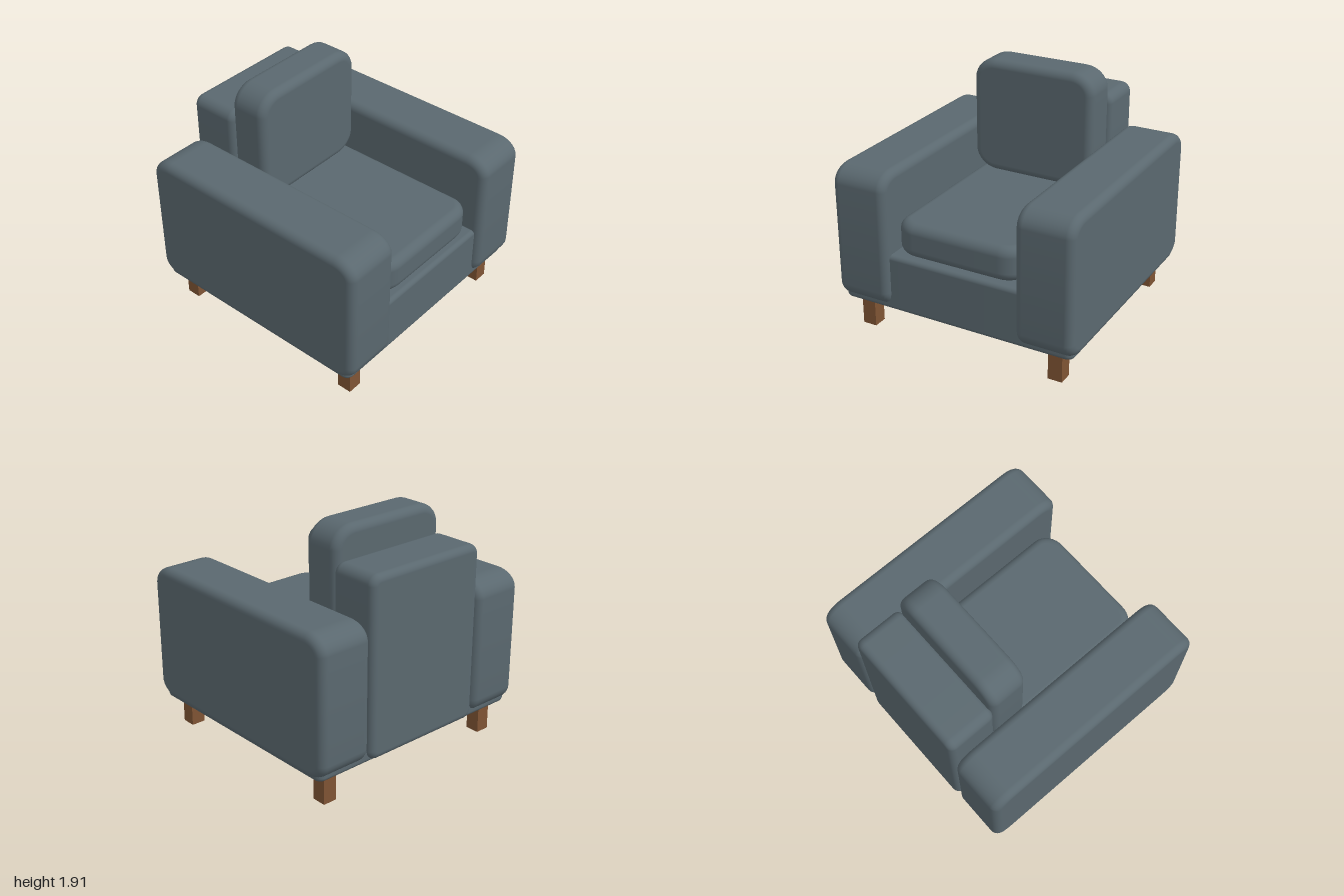
import * as THREE from 'three';

const fabric = new THREE.MeshStandardMaterial({ color: 0x5a686f });
fabric.name = 'slate fabric';
const wood = new THREE.MeshStandardMaterial({ color: 0x7f5434 });
wood.name = 'brown wood';

// Rounded rectangle outline with elliptical corners
function outline(w, h, rx, ry) {
  const s = new THREE.Shape();
  const x = w / 2 - rx, y = h / 2 - ry;
  const corners = [[x, y, 0], [-x, y, 1], [-x, -y, 2], [x, -y, 3]];
  const pts = [];
  for (const [cx, cy, q] of corners) {
    for (let i = 0; i <= 8; i++) {
      const a = (q + i / 8) * Math.PI / 2;
      pts.push(new THREE.Vector2(cx + rx * Math.cos(a), cy + ry * Math.sin(a)));
    }
  }
  return s.setFromPoints(pts);
}

// Padded block: outline seen along one axis, with a soft round edge of radius b.
function pad(name, [x0, x1], [y0, y1], [z0, z1], axis, rx, ry, b) {
  const dx = x1 - x0, dy = y1 - y0, dz = z1 - z0;
  const [w, h, d] = { x: [dz, dy, dx], y: [dx, dz, dy], z: [dx, dy, dz] }[axis];
  const ex = rx - b, ey = ry - b;
  const geo = new THREE.ExtrudeGeometry(outline(w - 2 * b, h - 2 * b, ex, ey), {
    depth: d - 2 * b, bevelThickness: b, bevelSize: b, bevelSegments: 6, curveSegments: 8,
  });
  geo.translate(0, 0, b - d / 2);

  // Exact smooth normals: flat on the faces, round on corners and edges
  const p = geo.attributes.position, n = geo.attributes.normal;
  const ix = w / 2 - rx, iy = h / 2 - ry, iz = d / 2 - b;
  const clamp = THREE.MathUtils.clamp;
  for (let i = 0; i < p.count; i++) {
    const x = p.getX(i), y = p.getY(i), z = p.getZ(i);
    const side = new THREE.Vector2(
      (x - clamp(x, -ix, ix)) / (rx * rx), (y - clamp(y, -iy, iy)) / (ry * ry)).normalize();
    const t = clamp((Math.abs(z) - iz) / b, 0, 1);
    side.multiplyScalar(Math.sqrt(1 - t * t));
    n.setXYZ(i, side.x, side.y, Math.sign(z) * t);
  }

  if (axis === 'x') geo.rotateY(Math.PI / 2);
  if (axis === 'y') geo.rotateX(Math.PI / 2);
  const mesh = new THREE.Mesh(geo, fabric);
  mesh.name = name;
  mesh.position.set((x0 + x1) / 2, (y0 + y1) / 2, (z0 + z1) / 2);
  return mesh;
}

export function createModel() {
  const chair = new THREE.Group();
  chair.name = 'armchair';

  // Frame under the seat and upright back
  chair.add(pad('base', [-0.98, 0.98], [0.24, 0.7], [-0.94, 0.935], 'y', 0.06, 0.06, 0.035));
  chair.add(pad('back', [-0.535, 0.535], [0.26, 1.675], [-0.985, -0.575], 'z', 0.08, 0.08, 0.055));

  // Loose cushions
  chair.add(pad('seatCushion', [-0.525, 0.525], [0.7, 0.975], [-0.575, 0.9], 'y', 0.17, 0.15, 0.075));
  chair.add(pad('backCushion', [-0.52, 0.52], [0.98, 1.91], [-0.59, -0.27], 'z', 0.19, 0.17, 0.065));

  // Arms
  chair.add(pad('leftArm', [0.54, 1], [0.25, 1.35], [-0.985, 0.985], 'x', 0.18, 0.14, 0.065));
  chair.add(pad('rightArm', [-1, -0.54], [0.25, 1.35], [-0.985, 0.985], 'x', 0.18, 0.14, 0.065));

  // Square wooden legs
  for (const [sx, side] of [[1, 'Left'], [-1, 'Right']]) {
    for (const [sz, end] of [[1, 'front'], [-1, 'back']]) {
      const leg = new THREE.Mesh(new THREE.BoxGeometry(0.115, 0.26, 0.115), wood);
      leg.name = `${end}${side}Leg`;
      leg.position.set(sx * 0.813, 0.13, sz * 0.805);
      chair.add(leg);
    }
  }
  return chair;
}
